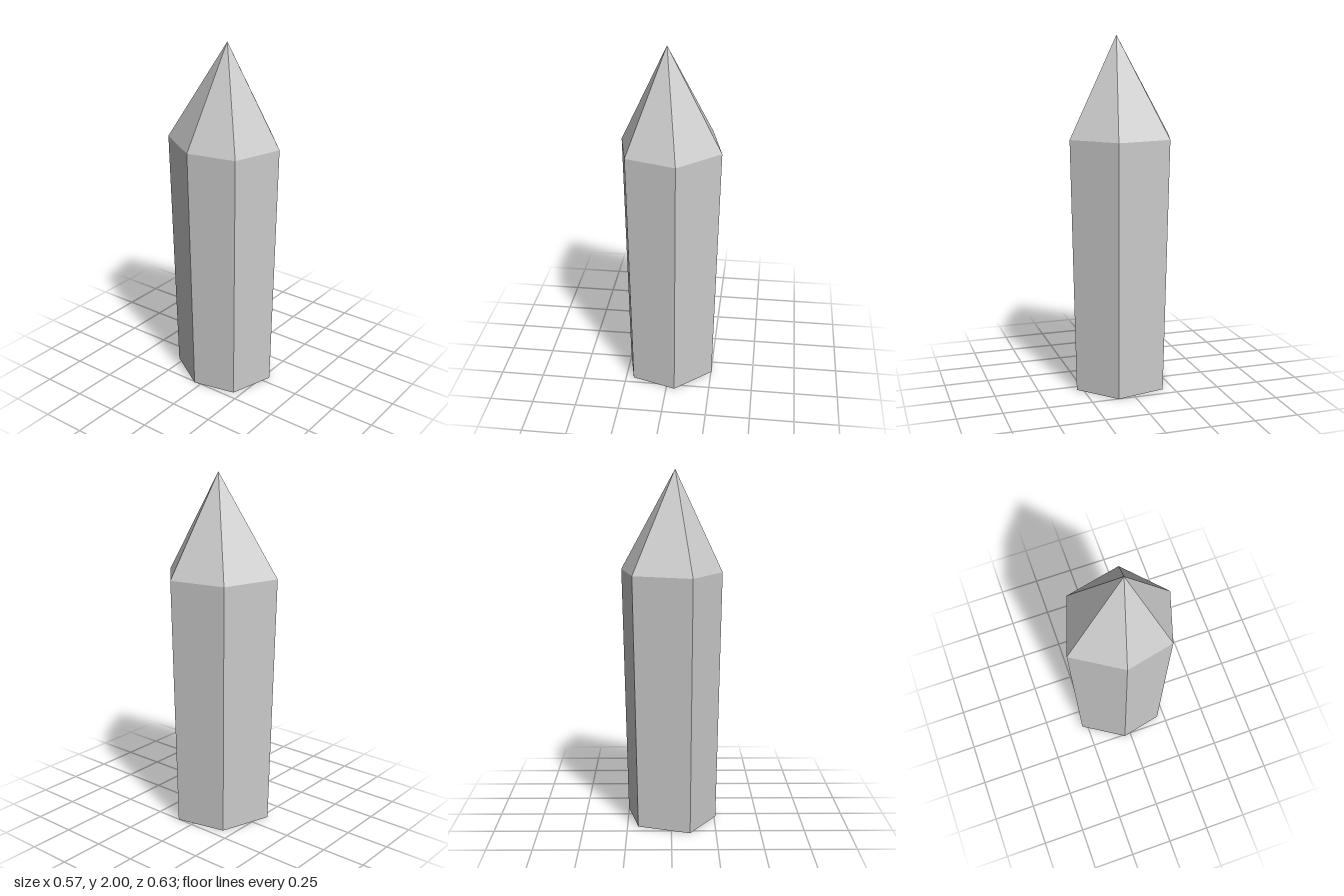
import * as THREE from 'three';

// Corner distances from the crystal's axis, 60 degrees apart
const RADII = [0.354, 0.331, 0.316, 0.301, 0.287, 0.272];
const START = THREE.MathUtils.degToRad(255);
const SHOULDER = 1.44, HEIGHT = 2, FOOT_SCALE = 0.9;
const AXIS_X = -0.022, AXIS_Z = 0.024;

// Irregular hexagonal cross-section at height y
function ring(y, scale) {
  return RADII.map((r, i) => {
    const a = START + (i * Math.PI) / 3;
    return [Math.cos(a) * r * scale, y, Math.sin(a) * r * scale];
  });
}

function facetMesh(name, triangles, material) {
  const geometry = new THREE.BufferGeometry();
  geometry.setAttribute('position', new THREE.Float32BufferAttribute(triangles.flat(2), 3));
  geometry.computeVertexNormals();
  const mesh = new THREE.Mesh(geometry, material);
  mesh.name = name;
  return mesh;
}

export function createModel() {
  const group = new THREE.Group();
  group.name = 'crystal';
  const material = new THREE.MeshStandardMaterial({ color: 0xcccccc, flatShading: true });

  const foot = ring(0, FOOT_SCALE);
  const shoulder = ring(SHOULDER, 1);
  const shaft = [], tip = [], base = [];
  for (let i = 0; i < RADII.length; i++) {
    const j = (i + 1) % RADII.length;
    // Tapered shaft facet
    shaft.push([foot[i], shoulder[i], foot[j]], [foot[j], shoulder[i], shoulder[j]]);
    // Pointed tip facet
    tip.push([shoulder[i], [0, HEIGHT, 0], shoulder[j]]);
    // Flat underside
    base.push([[0, 0, 0], foot[i], foot[j]]);
  }

  group.add(
    facetMesh('shaft', shaft, material),
    facetMesh('tip', tip, material),
    facetMesh('base', base, material)
  );
  // Shift the off-centre axis so the whole crystal is centred
  group.children.forEach((part) => part.position.set(AXIS_X, 0, AXIS_Z));
  return group;
}
